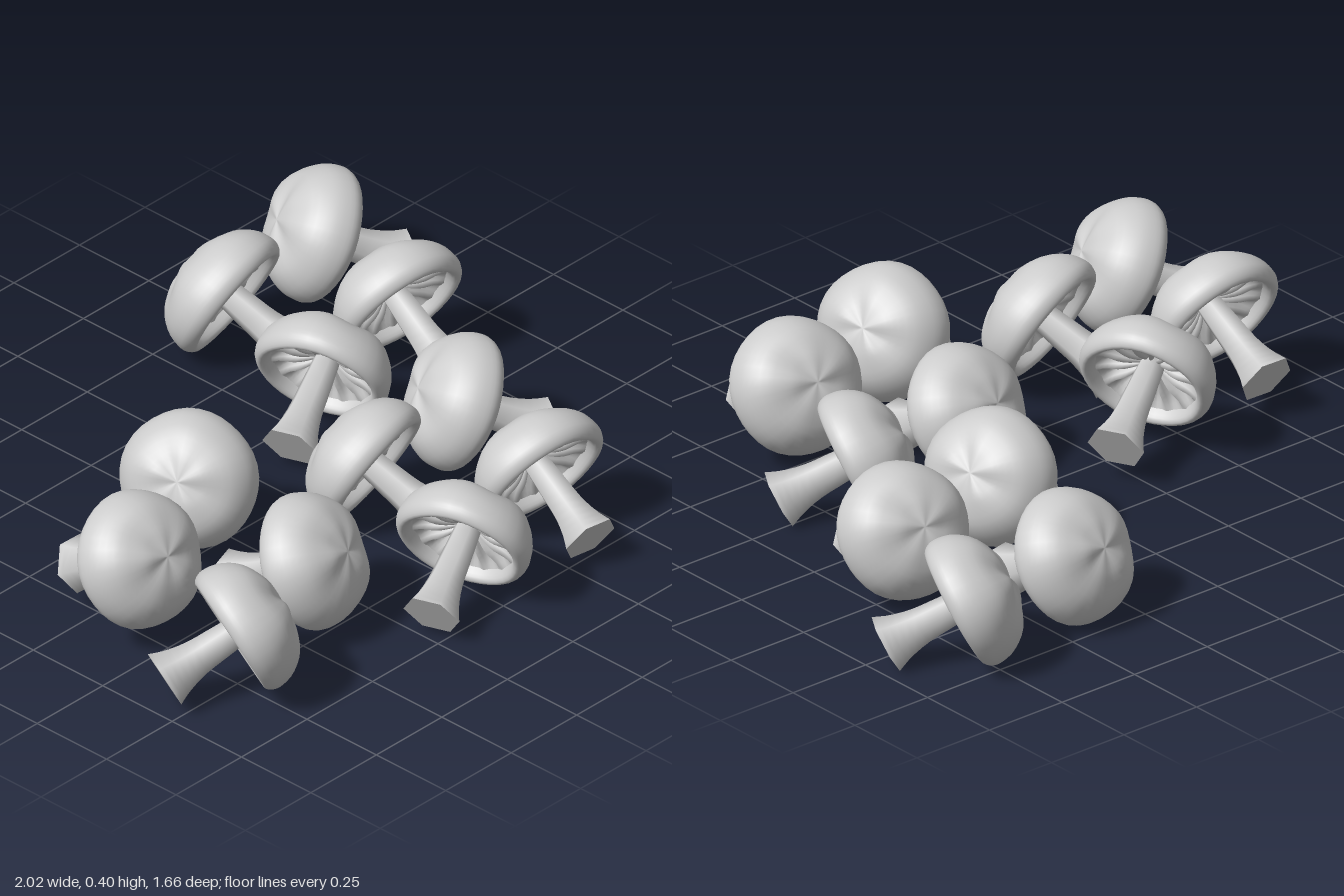
import * as THREE from 'three';
import { mergeVertices } from 'three/addons/utils/BufferGeometryUtils.js';

const material = new THREE.MeshStandardMaterial({ color: 0xcccccc, side: THREE.DoubleSide });
const TILT = 0.48; // how far each mushroom axis rises above the ground

const spline = (pts, n) =>
  new THREE.SplineCurve(pts.map(([x, y]) => new THREE.Vector2(x, y))).getPoints(n);

// Lathe whose vertices are moved by a rule, with seamless smooth normals
function lathe(profile, segments, move) {
  let geo = new THREE.LatheGeometry(profile, segments);
  geo.deleteAttribute('uv');
  geo.deleteAttribute('normal');
  const p = geo.attributes.position;
  const v = new THREE.Vector3();
  for (let i = 0; i < p.count; i++) {
    v.fromBufferAttribute(p, i);
    move(v, Math.hypot(v.x, v.z), Math.atan2(v.z, v.x));
    p.setXYZ(i, v.x, v.y, v.z);
  }
  geo = mergeVertices(geo, 1e-5);
  geo.computeVertexNormals();
  return geo;
}

// Cap: rolled lip followed by a slightly lumpy dome
const capGeo = lathe(
  spline([[0.142, 0.035], [0.15, 0.008], [0.165, 0], [0.18, 0.014], [0.186, 0.04],
    [0.175, 0.085], [0.14, 0.13], [0.085, 0.157], [0.04, 0.165], [0, 0.166]], 28),
  36,
  (v, r, a) => {
    const lump = Math.max(0, v.y - 0.02) * Math.min(1, r / 0.06);
    v.y += lump * (0.03 * Math.sin(3 * a + 1) + 0.025 * Math.sin(5 * a));
    const wobble = 1 + 0.012 * Math.sin(2 * a + 0.6) + 0.008 * Math.sin(5 * a);
    v.x *= wobble;
    v.z *= wobble;
  }
);

// Gills: hollow underside with radial ridges
const RIDGES = 14;
const gillGeo = lathe(
  spline([[0.02, 0.08], [0.06, 0.075], [0.11, 0.06], [0.148, 0.03]], 10),
  RIDGES * 6,
  (v, r, a) => {
    const fade = Math.sin(Math.PI * THREE.MathUtils.clamp((r - 0.01) / 0.14, 0, 1));
    v.y -= 0.03 * fade * Math.pow(Math.abs(Math.cos((a * RIDGES) / 2)), 4);
  }
);

// Stem: six-sided, flaring towards its cut end
const stemGeo = lathe(
  spline([[0.08, -0.205], [0.062, -0.16], [0.049, -0.1], [0.044, -0.03], [0.036, 0.085]], 10),
  6,
  () => {}
).rotateY(Math.PI / 6);
const cutGeo = new THREE.CircleGeometry(0.08, 6).rotateX(Math.PI / 2).translate(0, -0.205, 0);

function mushroom(x, y, z, dx, dz) {
  const g = new THREE.Group();
  g.name = 'mushroom';
  const parts = { cap: capGeo, gills: gillGeo, stem: stemGeo, stemCutEnd: cutGeo };
  for (const [name, geo] of Object.entries(parts)) {
    const mesh = new THREE.Mesh(geo, material);
    mesh.name = name;
    g.add(mesh);
  }
  // Axis points away from the stem and upwards; the stem lies towards (dx, dz)
  const d = new THREE.Vector3(dx, 0, dz).normalize();
  const up = d.clone().multiplyScalar(-Math.cos(TILT)).setY(Math.sin(TILT));
  const side = new THREE.Vector3(d.z, 0, -d.x);
  const basis = new THREE.Matrix4().makeBasis(side, up, side.clone().cross(up));
  g.quaternion.setFromRotationMatrix(basis);
  // x and z give the middle of the cap seen from above
  g.position.set(x + 0.05 * d.x, y, z + 0.05 * d.z);
  return g;
}

export function createModel() {
  const model = new THREE.Group();
  model.name = 'mushrooms';
  // Cluster of four, used twice
  const cluster = [
    [0.4, 0.16, -0.645, 0.2, 0.97],
    [0.765, 0.16, -0.66, 0.84, 0.54],
    [0.3, 0.18, -0.175, -0.94, 0.34],
    [0.67, 0.18, -0.275, -0.15, 0.99],
  ];
  for (const [x, y, z, dx, dz] of cluster) {
    model.add(mushroom(x, y, z, dx, dz));
    model.add(mushroom(x - 0.335, y, z + 0.825, dx, dz));
  }
  // Third cluster, turned the other way
  const turned = [
    [-0.385, 0.21, -0.025, 0.89, -0.45],
    [-0.745, 0.21, 0.15, 0.03, -1],
    [-0.755, 0.185, 0.54, -0.9, -0.44],
    [-0.41, 0.185, 0.455, -0.33, -0.95],
  ];
  for (const m of turned) model.add(mushroom(...m));
  return model;
}
